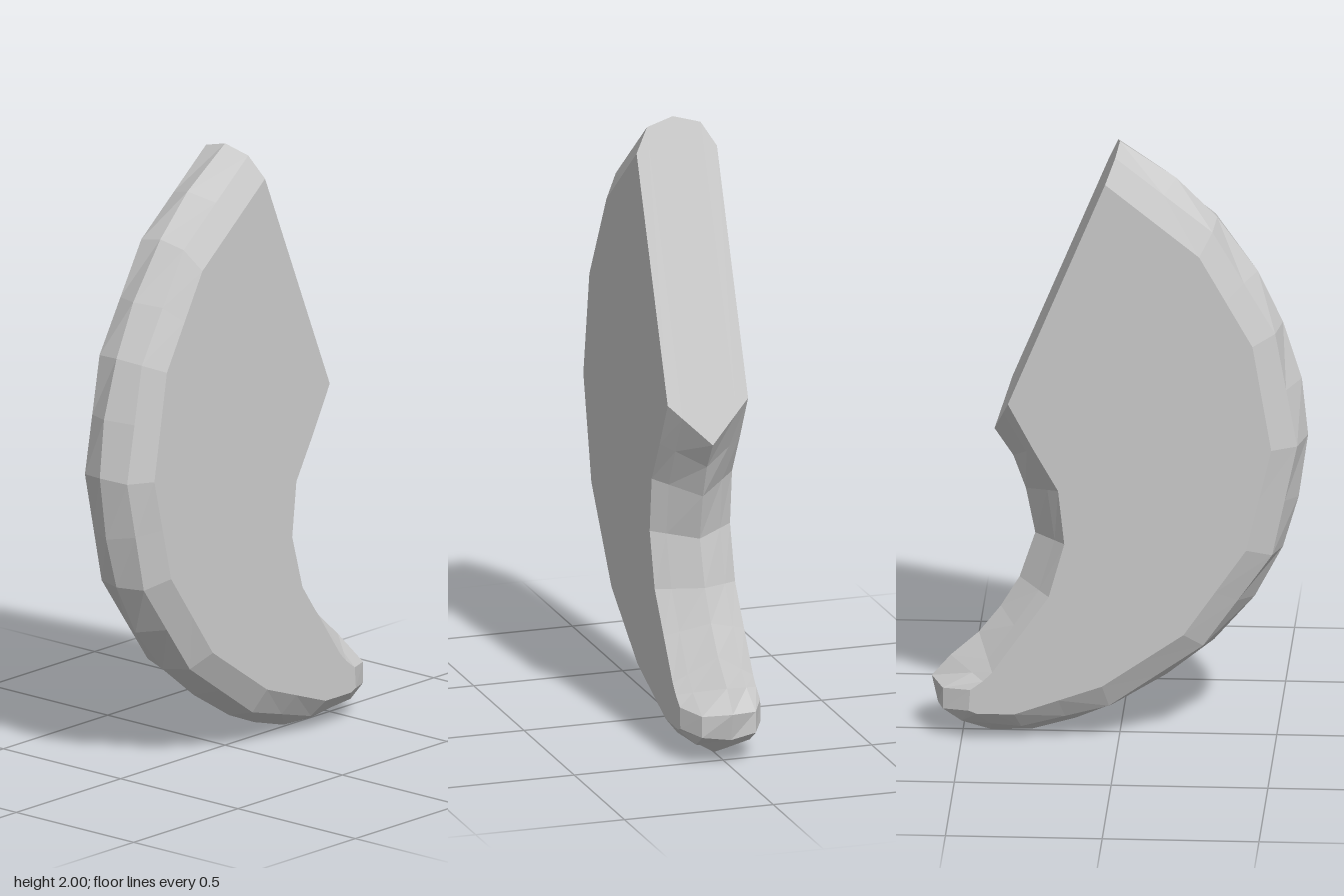
import * as THREE from 'three';

// Outer edge stations, top to tip: rim x,y (z = 0), bevel x,y, flat face x,y.
// Stations with only a rim point take the other two halfway between neighbours.
const OUTER = [
  [0, 2, 0.01, 1.975, 0.04, 1.9],
  [-0.18, 1.88],
  [-0.31, 1.75, -0.3, 1.73, -0.26, 1.66],
  [-0.44, 1.57],
  [-0.52, 1.4, -0.5, 1.39, -0.43, 1.36],
  [-0.58, 1.21],
  [-0.6, 1.02, -0.57, 1.01, -0.49, 1.01],
  [-0.57, 0.81],
  [-0.52, 0.64, -0.49, 0.64, -0.41, 0.67],
  [-0.43, 0.47],
  [-0.3, 0.32, -0.27, 0.33, -0.21, 0.38],
  [-0.15, 0.2],
  [0.02, 0.095, 0.03, 0.12, 0.05, 0.2],
  [0.14, 0.045],
  [0.28, 0.005, 0.31, 0.045, 0.33, 0.1],
  [0.41, 0],
  [0.52, 0.045, 0.5, 0.06, 0.45, 0.1],
  [0.58, 0.09, 0.56, 0.1, 0.475, 0.11],
  [0.6, 0.18, 0.56, 0.17, 0.47, 0.18],
];

// Inner hollow, tip to cut: rim x,y and face x,y, joined by one straight bevel
const INNER = [
  [0.54, 0.25, 0.43, 0.21],
  [0.45, 0.33, 0.4, 0.24],
  [0.38, 0.42, 0.31, 0.37],
  [0.32, 0.52, 0.22, 0.5],
  [0.27, 0.67, 0.17, 0.68],
  [0.3, 0.82, 0.19, 0.86],
  [0.34, 0.93, 0.27, 1.0],
  [0.4, 1.02, 0.35, 1.15],
];

const HALF = 0.135, BEVEL = 0.09;

function buildStations() {
  const outer = OUTER.map((s, i) => {
    if (s.length === 6) return s;
    const a = OUTER[i - 1], b = OUTER[i + 1];
    return [...s, ...[2, 3, 4, 5].map((k) => (a[k] + b[k]) / 2)];
  });
  const t = BEVEL / HALF;
  const inner = INNER.map(([cx, cy, fx, fy]) =>
    [cx, cy, cx + (fx - cx) * t, cy + (fy - cy) * t, fx, fy]);
  return [...outer, ...inner];
}

function curvedBladeGeometry() {
  const stations = buildStations();
  const n = stations.length;
  // Rings from front face through the rim to the back face
  const rings = [[4, HALF], [2, BEVEL], [0, 0], [2, -BEVEL], [4, -HALF]];
  const positions = [], index = [];
  for (const [k, z] of rings) {
    for (const s of stations) positions.push(s[k], s[k + 1], z);
  }
  // Bevels, tip and straight cut
  for (let r = 0; r < rings.length - 1; r++) {
    for (let i = 0; i < n; i++) {
      const j = (i + 1) % n;
      const a = r * n + i, b = r * n + j, c = a + n, d = b + n;
      index.push(a, c, d, a, d, b);
    }
  }
  // Flat front and back
  const face = stations.map((s) => new THREE.Vector2(s[4], s[5]));
  const last = (rings.length - 1) * n;
  for (const [a, b, c] of THREE.ShapeUtils.triangulateShape(face, [])) {
    index.push(a, b, c, last + a, last + c, last + b);
  }
  const geometry = new THREE.BufferGeometry();
  geometry.setAttribute('position', new THREE.Float32BufferAttribute(positions, 3));
  geometry.setIndex(index);
  const flat = geometry.toNonIndexed();
  flat.computeVertexNormals();
  return flat;
}

export function createModel() {
  const group = new THREE.Group();
  group.name = 'curvedHorn';
  const material = new THREE.MeshStandardMaterial({ color: 0xcccccc, flatShading: true });
  const body = new THREE.Mesh(curvedBladeGeometry(), material);
  body.name = 'hornBody';
  group.add(body);
  return group;
}
